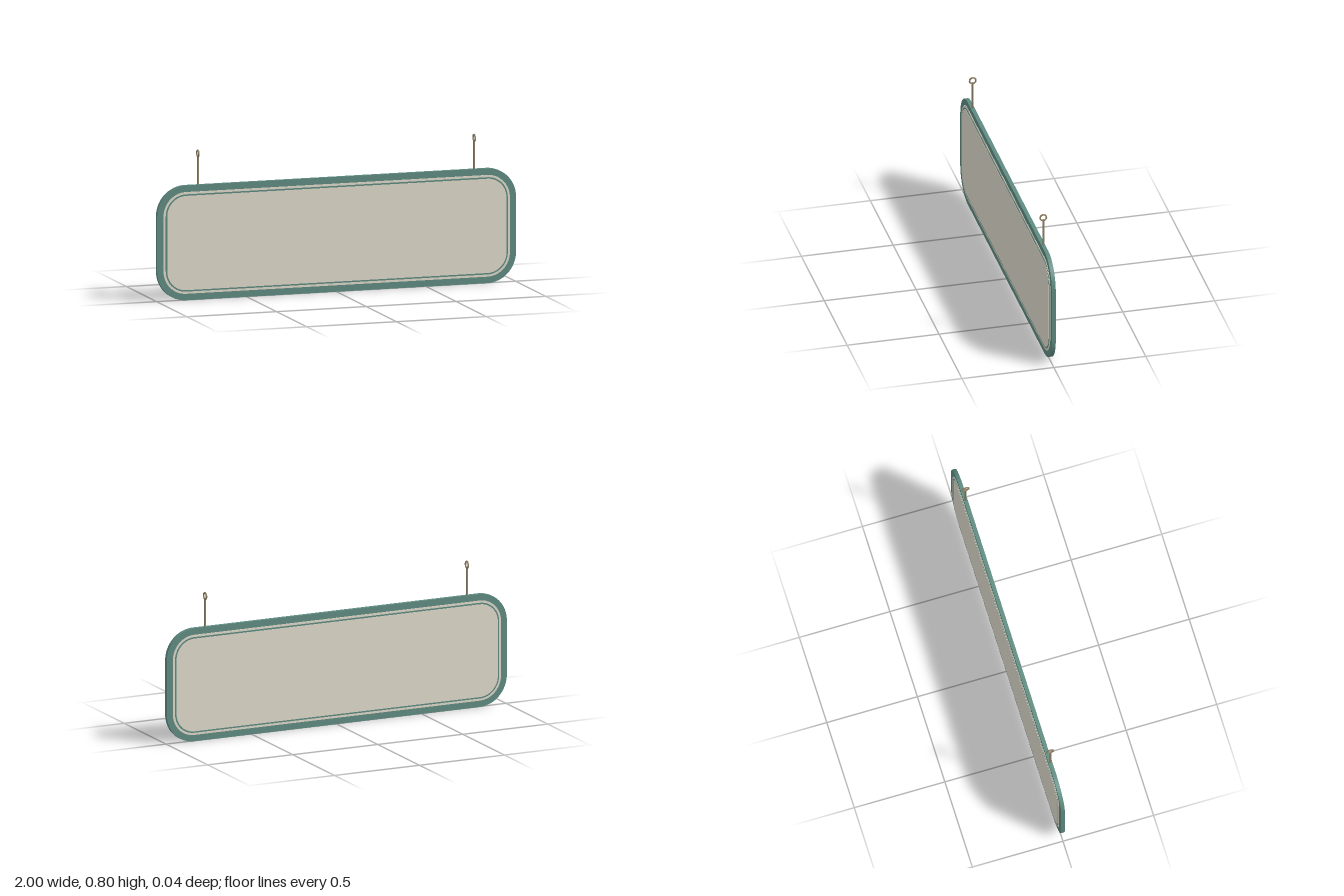
import * as THREE from 'three';
import { toCreasedNormals } from 'three/addons/utils/BufferGeometryUtils.js';

const WIDTH = 2, HEIGHT = 0.615, RADIUS = 0.16;

const green = new THREE.MeshStandardMaterial({ color: 0x5f8c82 });
const cream = new THREE.MeshStandardMaterial({ color: 0xdedaca });
const brass = new THREE.MeshStandardMaterial({ color: 0x94866a });

// Rounded rectangle, shrunk evenly by an inset
function roundedOutline(inset) {
  const w = WIDTH / 2 - inset, h = HEIGHT / 2 - inset, r = RADIUS - inset;
  const shape = new THREE.Shape();
  shape.absarc(w - r, h - r, r, 0, Math.PI / 2);
  shape.absarc(-w + r, h - r, r, Math.PI / 2, Math.PI);
  shape.absarc(-w + r, -h + r, r, Math.PI, Math.PI * 1.5);
  shape.absarc(w - r, -h + r, r, Math.PI * 1.5, Math.PI * 2);
  shape.closePath();
  return shape;
}

// Solid plate showing on both faces of the sign
function plate(name, inset, halfDepth, material) {
  const geometry = new THREE.ExtrudeGeometry(roundedOutline(inset), {
    depth: halfDepth * 2, bevelEnabled: false, curveSegments: 8,
  });
  geometry.translate(0, HEIGHT / 2, -halfDepth);
  const mesh = new THREE.Mesh(toCreasedNormals(geometry, Math.PI / 5), material);
  mesh.name = name;
  return mesh;
}

// Rod topped with a ring that faces sideways
function hanger(name, x) {
  const group = new THREE.Group();
  group.name = name;
  const bottom = HEIGHT - 0.01, top = 0.77;
  const rod = new THREE.Mesh(new THREE.CylinderGeometry(0.0055, 0.0055, top - bottom, 8), brass);
  rod.name = 'hangerRod';
  rod.position.y = (top + bottom) / 2;
  const ring = new THREE.Mesh(new THREE.TorusGeometry(0.0175, 0.0045, 8, 12), brass);
  ring.name = 'hangerRing';
  ring.rotation.y = Math.PI / 2;
  ring.position.y = 0.781;
  group.add(rod, ring);
  group.position.x = x;
  return group;
}

export function createModel() {
  const sign = new THREE.Group();
  sign.name = 'hangingSign';

  // Stepped board: frame, pale border, thin trim line, face panel
  sign.add(
    plate('frame', 0, 0.0105, green),
    plate('border', 0.035, 0.0125, cream),
    plate('trimLine', 0.047, 0.0137, green),
    plate('facePanel', 0.055, 0.015, cream),
  );

  sign.add(hanger('leftHanger', 0.77), hanger('rightHanger', -0.77));
  return sign;
}
